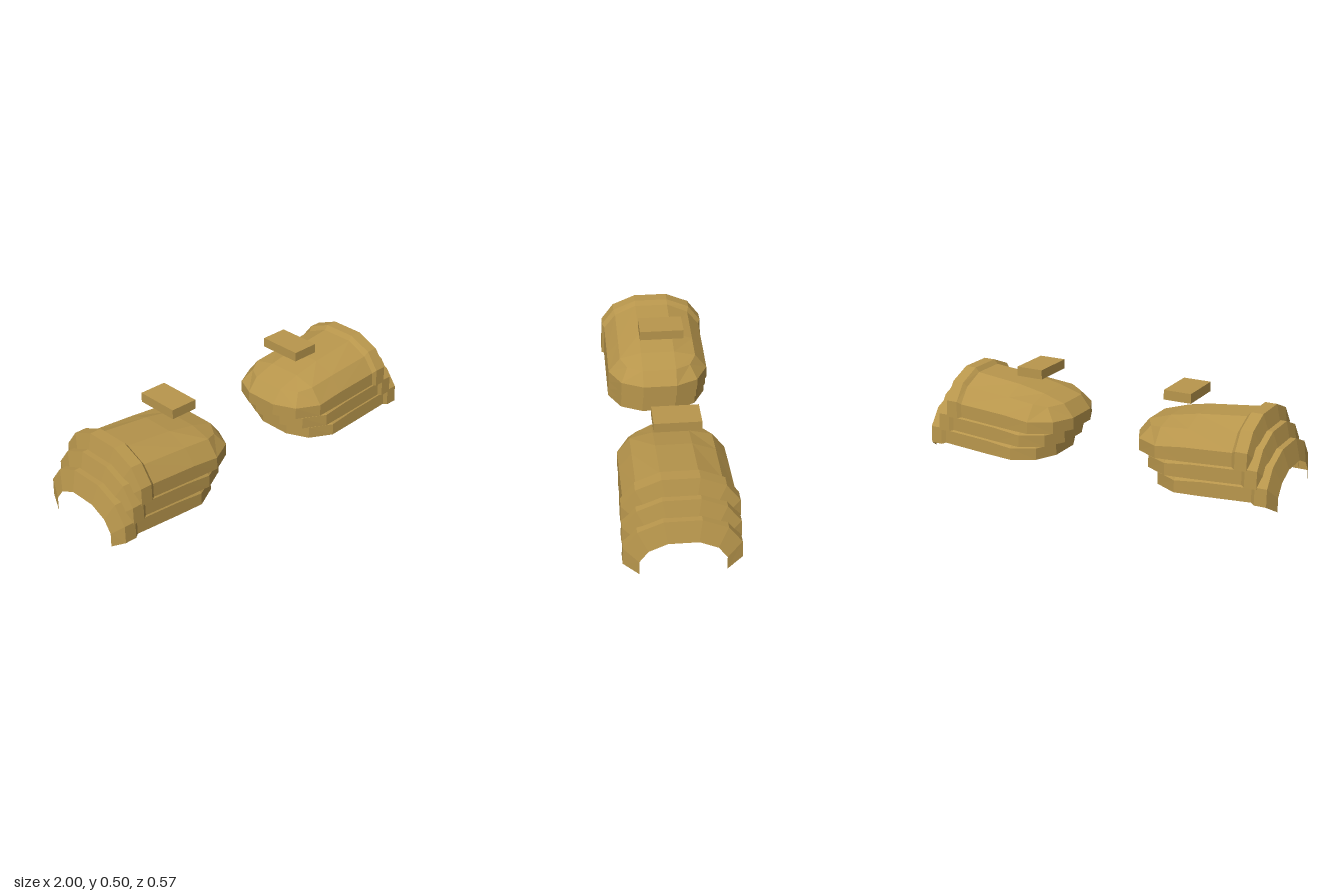
import * as THREE from 'three';

const gold = new THREE.MeshStandardMaterial({ color: 0xb8964c, side: THREE.DoubleSide, flatShading: true });
gold.name = 'gold';

// Half cross-sections of one plate, nose to outer lip: top, shoulder, rim, bottom as [x, y, z]
const station = (x, top, shoulder, rim, bottom, zs) =>
  [top, shoulder, rim, bottom].map((y, i) => [x, y, zs[i]]);
const bodyZ = [0.09, 0.205, 0.268, 0.27];
const collarZ = [0.09, 0.213, 0.28, 0.283];
const lipZ = [0.073, 0.163, 0.207, 0.207];
const stations = [
  [[0.195, 0.25, 0.09], [0.25, 0.25, 0.205], [0.37, 0.25, 0.268], [0.37, 0.187, 0.27]],
  [[0.25, 0.32, 0.09], [0.3, 0.315, 0.17], [0.37, 0.25, 0.268], [0.37, 0.187, 0.27]],
  station(0.37, 0.358, 0.33, 0.25, 0.187, bodyZ),
  station(0.52, 0.388, 0.345, 0.268, 0.195, bodyZ),
  station(0.78, 0.417, 0.365, 0.285, 0.213, bodyZ),
  station(0.8, 0.44, 0.388, 0.298, 0.207, collarZ),
  station(0.863, 0.44, 0.388, 0.298, 0.207, collarZ),
  station(0.893, 0.335, 0.295, 0.235, 0.162, lipZ),
];

// Mirror a half section into a full arch from +z to -z
const arch = (half) => [...half].reverse().concat(half.map(([x, y, z]) => [x, y, -z]));

function plateGeometry(side) {
  const pos = [];
  const tri = (a, b, c) => {
    const area = new THREE.Vector3().subVectors(new THREE.Vector3(...b), new THREE.Vector3(...a))
      .cross(new THREE.Vector3().subVectors(new THREE.Vector3(...c), new THREE.Vector3(...a))).length();
    if (area < 1e-7) return;
    for (const [x, y, z] of side > 0 ? [a, b, c] : [a, c, b]) pos.push(x * side, y, z);
  };
  const quad = (a, b, c, d) => { tri(a, b, c); tri(a, c, d); };

  // Shell surface between neighbouring arches
  const rows = stations.map(arch);
  for (let i = 0; i < rows.length - 1; i++) {
    for (let j = 0; j < 7; j++) quad(rows[i][j], rows[i + 1][j], rows[i + 1][j + 1], rows[i][j + 1]);
  }

  // Upright skirt around the rounded nose
  const rim = rows[0].slice(1, 7);
  const low = rim.map(([x, , z]) => [x, 0.187, z]);
  low[0] = rows[0][0];
  low[5] = rows[0][7];
  for (let j = 0; j < 5; j++) quad(low[j], rim[j], rim[j + 1], low[j + 1]);

  const geometry = new THREE.BufferGeometry();
  geometry.setAttribute('position', new THREE.Float32BufferAttribute(pos, 3));
  geometry.computeVertexNormals();
  return geometry;
}

export function createModel() {
  const model = new THREE.Group();
  model.name = 'shoulderArmour';
  for (const side of [1, -1]) {
    const shoulder = new THREE.Group();
    shoulder.name = side > 0 ? 'leftShoulder' : 'rightShoulder';

    // Three overlapping plates, each stepped outward and down
    const geometry = plateGeometry(side);
    ['upperPlate', 'middlePlate', 'lowerPlate'].forEach((name, i) => {
      const plate = new THREE.Mesh(geometry, gold);
      plate.name = name;
      plate.position.set(side * 0.0535 * i, -0.081 * i, 0);
      shoulder.add(plate);
    });

    // Flat block floating above the plates
    const block = new THREE.Mesh(new THREE.BoxGeometry(0.148, 0.05, 0.235), gold);
    block.name = 'topBlock';
    block.position.set(side * 0.427, 0.475, -0.022);
    shoulder.add(block);
    model.add(shoulder);
  }
  return model;
}
